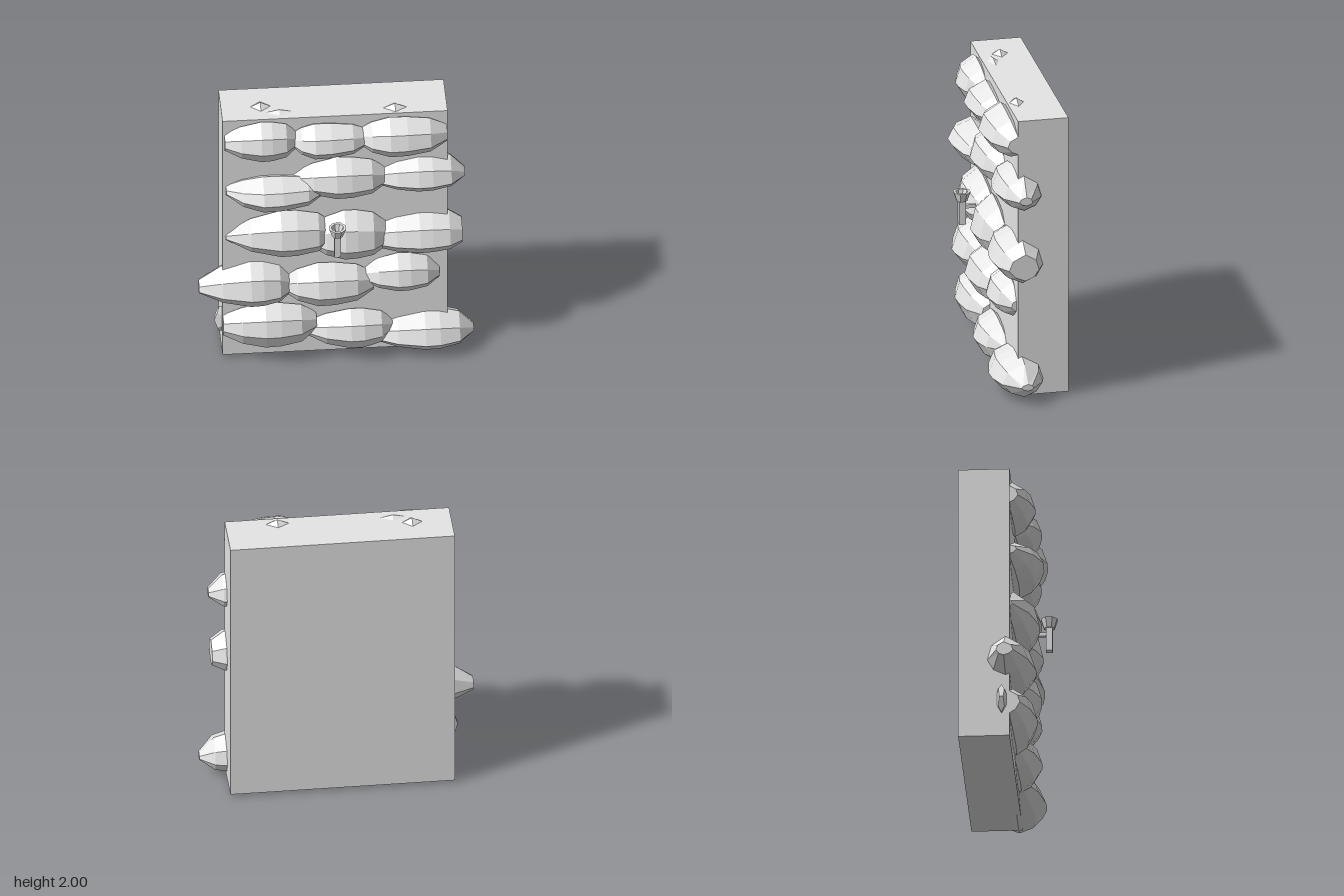
import * as THREE from 'three';

const stoneGrey = new THREE.MeshStandardMaterial({ color: 0xe5e5e5, flatShading: true });
stoneGrey.name = 'stone grey';

const mix = THREE.MathUtils.lerp;

// Faceted stone: eight-sided rings along x that taper towards both ends.
// startTaper and endTaper give the height left at each end as a share of the full height,
// peak is where along its length the stone is thickest.
function stoneGeometry([x0, x1, bottom, ridge, top, front, startTaper, endTaper, peak]) {
  const overhangs = x0 < -0.8 || x1 > 0.8;
  const back = overhangs ? -0.15 : -0.06;
  const stations = [
    [0, startTaper], [0.45 * peak, mix(startTaper, 1, 0.65)], [peak, 1],
    [mix(peak, 1, 0.3), 0.98], [mix(peak, 1, 0.7), mix(endTaper, 1, 0.72)], [1, endTaper],
  ];
  const pos = [], index = [], n = 8;
  for (const [t, s] of stations) {
    const depth = 0.1 + 0.9 * s;
    const z = k => mix(front, back, k) * depth;
    const up = k => ridge + (top - ridge) * s * k;
    const down = k => ridge + (bottom - ridge) * s * k;
    const ring = [[z(0), ridge], [z(0.13), up(0.6)], [z(0.55), up(1)], [z(0.9), up(0.6)],
      [z(1), ridge], [z(0.85), down(0.65)], [z(0.55), down(1)], [z(0.22), down(0.65)]];
    for (const [pz, py] of ring) pos.push(mix(x0, x1, t), py, pz);
  }
  const last = (stations.length - 1) * n;
  for (let i = 0; i < last; i += n) {
    for (let j = 0; j < n; j++) {
      const k = (j + 1) % n;
      index.push(i + j, i + n + j, i + k, i + k, i + n + j, i + n + k);
    }
  }
  for (let j = 1; j < n - 1; j++) index.push(0, j, j + 1, last, last + j + 1, last + j);
  const g = new THREE.BufferGeometry();
  g.setAttribute('position', new THREE.Float32BufferAttribute(pos, 3));
  g.setIndex(index);
  const flat = g.toNonIndexed();
  flat.computeVertexNormals();
  return flat;
}

// Stones of each course from -x to +x:
// start x, end x, bottom, ridge height, top, front z, start taper, end taper, peak
const topCourse = [
  [-.75, -.27, 1.64, 1.78, 1.96, .19, .4, .4, .5],
  [-.31, .21, 1.66, 1.78, 1.93, .21, .3, .4, .3],
  [.13, .73, 1.65, 1.78, 1.96, .22, .3, .4, .36],
];
const fourthCourse = [
  [-.74, -.07, 1.25, 1.39, 1.52, .245, .25, .3, .36],
  [-.29, .33, 1.31, 1.44, 1.64, .2, .3, .35, .45],
  [.28, .85, 1.31, 1.43, 1.61, .17, .5, .2, .45],
];
const middleCourse = [
  [-.74, -.02, .85, .99, 1.22, .21, .15, .35, .5],
  [-.18, .32, .8, .95, 1.2, .21, .35, .5, .45],
  [.26, .83, .8, .94, 1.14, .19, .6, .55, .5],
];
const secondCourse = [
  [-.92, -.3, .42, .57, .8, .2, .25, .35, .55],
  [-.38, .24, .42, .57, .77, .21, .2, .4, .4],
  [.17, .68, .51, .62, .81, .18, .35, .3, .45],
];
const bottomCourse = [
  [-.76, -.14, .08, .26, .45, .2, .45, .4, .45],
  [-.21, .38, .05, .2, .37, .2, .3, .2, .5],
  [.25, .91, 0, .13, .31, .2, .4, .15, .5],
];

export function createModel() {
  const model = new THREE.Group();
  model.name = 'stoneWall';
  const add = (parent, name, geometry, x = 0, y = 0, z = 0) => {
    const mesh = new THREE.Mesh(geometry, stoneGrey);
    mesh.name = name;
    mesh.position.set(x, y, z);
    parent.add(mesh);
    return mesh;
  };

  // Backing slab
  add(model, 'backingSlab', new THREE.BoxGeometry(1.498, 1.95, 0.342), -0.014, 0.991, -0.138);

  // Stone courses
  [bottomCourse, secondCourse, middleCourse, fourthCourse, topCourse].forEach((course, i) => {
    const row = new THREE.Group();
    row.name = `stoneCourse${i + 1}`;
    course.forEach((stone, j) => add(row, `stone${j + 1}`, stoneGeometry(stone)));
    model.add(row);
  });

  // Small stone tips that break through the top and the side of the slab
  const tip = (name, geometry, x, y, z, width, height, depth) =>
    add(model, name, geometry, x, y, z).scale.set(width / 2, height / 2, depth / 2);
  const pointed = new THREE.OctahedronGeometry(1);
  tip('topTipRight', pointed, -0.5, 1.965, -0.11, 0.14, 0.07, 0.11);
  tip('topTipMiddle', pointed, -0.38, 1.965, -0.04, 0.2, 0.04, 0.08);
  tip('topTipLeft', pointed, 0.39, 1.965, -0.03, 0.16, 0.07, 0.1);
  tip('sideTip', new THREE.DodecahedronGeometry(1), -0.76, 0.28, -0.02, 0.12, 0.22, 0.07);

  // Wall torch: square stem, hollow eight-sided cup and bracket
  const torch = new THREE.Group();
  torch.name = 'wallTorch';
  torch.position.set(-0.015, 0, 0.253);
  add(torch, 'stem', new THREE.BoxGeometry(0.045, 0.18, 0.045), 0, 1.06, 0);
  const cup = [[0, 1.135], [.037, 1.135], [.06, 1.2], [.042, 1.2], [.028, 1.15], [0, 1.15]];
  add(torch, 'cup', new THREE.LatheGeometry(cup.map(p => new THREE.Vector2(...p)), 8, Math.PI / 8));
  add(torch, 'bracketArm', new THREE.BoxGeometry(0.025, 0.025, 0.08), 0, 1.093, -0.055);
  model.add(torch);

  return model;
}
